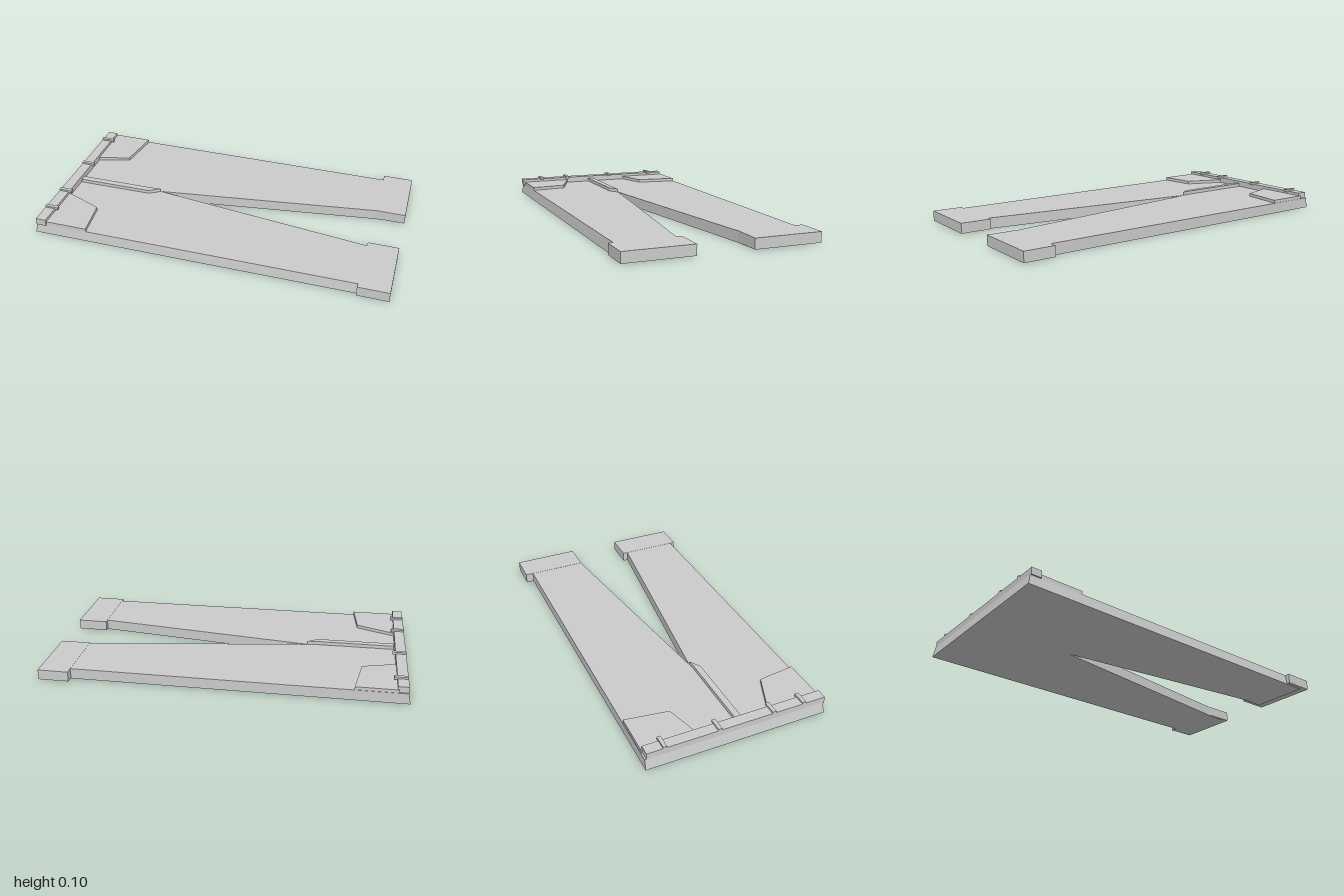
import * as THREE from 'three';

const material = new THREE.MeshStandardMaterial({ color: 0xcccccc, flatShading: true });

// Flat panel from an [x, z] outline, standing between heights y0 and y1
function panel(name, outline, y0, y1) {
  const shape = new THREE.Shape(outline.map(([x, z]) => new THREE.Vector2(x, -z)));
  const geometry = new THREE.ExtrudeGeometry(shape, { depth: y1 - y0, bevelEnabled: false });
  geometry.rotateX(-Math.PI / 2).translate(0, y0, 0);
  const mesh = new THREE.Mesh(geometry, material);
  mesh.name = name;
  return mesh;
}

// Rectangular slab given by its limits
function slab(name, x0, x1, y0, y1, z0, z1) {
  const mesh = new THREE.Mesh(new THREE.BoxGeometry(x1 - x0, y1 - y0, z1 - z0), material);
  mesh.position.set((x0 + x1) / 2, (y0 + y1) / 2, (z0 + z1) / 2);
  mesh.name = name;
  return mesh;
}

export function createModel() {
  const trousers = new THREE.Group();
  trousers.name = 'trousers';

  // Body with two legs parting at the crotch
  const body = panel('body', [
    [-1, -0.482], [0.95, -0.486], [0.95, -0.165], [0.83, -0.155], [-0.43, 0.025],
    [0.83, 0.178], [0.95, 0.17], [0.95, 0.506], [-1, 0.522],
  ], 0, 0.06);
  // Top face drawn in slightly at the waist, front side and crotch
  const p = body.geometry.attributes.position;
  for (let i = 0; i < p.count; i++) {
    if (p.getY(i) < 0.03) continue;
    if (p.getX(i) < -0.9) p.setX(i, -0.988);
    if (p.getZ(i) > 0.4) p.setZ(i, p.getZ(i) - 0.008);
  }
  body.geometry.computeVertexNormals();
  trousers.add(body);

  // Cuffs
  trousers.add(slab('rearCuff', 0.83, 1, 0.004, 0.061, -0.53, -0.155));
  trousers.add(slab('frontCuff', 0.83, 1, 0.004, 0.061, 0.15, 0.526));

  // Waistband and belt loops
  trousers.add(slab('waistband', -0.988, -0.93, 0.055, 0.094, -0.473, 0.522));
  for (const z of [-0.377, -0.082, 0.223, 0.398]) {
    trousers.add(slab('beltLoop', -0.988, -0.912, 0.089, 0.104, z - 0.01, z + 0.01));
  }

  // Pockets
  trousers.add(panel('rearPocket', [
    [-0.94, -0.48], [-0.71, -0.48], [-0.745, -0.24], [-0.94, -0.183],
  ], 0.055, 0.078));
  trousers.add(panel('frontPocket', [
    [-0.94, 0.216], [-0.715, 0.305], [-0.69, 0.512], [-0.94, 0.514],
  ], 0.055, 0.078));

  // Fly
  trousers.add(panel('fly', [
    [-0.925, 0.035], [-0.48, 0.03], [-0.43, 0.026], [-0.49, 0.064], [-0.925, 0.07],
  ], 0.055, 0.08));

  return trousers;
}
